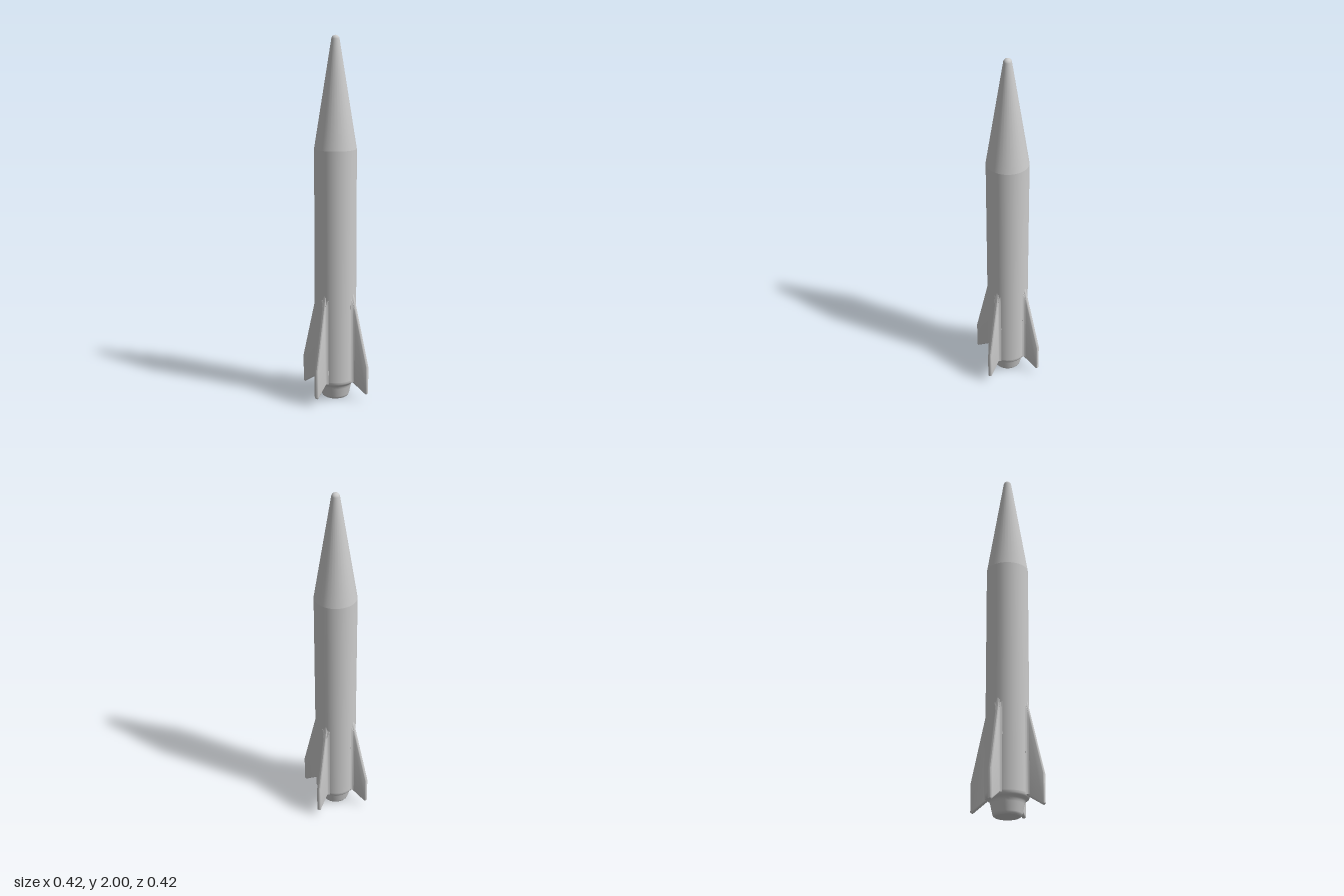
import * as THREE from 'three';
import { toCreasedNormals } from 'three/addons/utils/BufferGeometryUtils.js';

const SIDES = 32;
const R = 0.115; // body radius

export function createModel() {
  const rocket = new THREE.Group();
  rocket.name = 'rocket';
  const grey = new THREE.MeshStandardMaterial({ color: 0xcccccc });

  const add = (name, geometry, parent = rocket) => {
    const mesh = new THREE.Mesh(geometry, grey);
    mesh.name = name;
    parent.add(mesh);
    return mesh;
  };
  const lathe = (points) =>
    new THREE.LatheGeometry(points.map(([r, y]) => new THREE.Vector2(r, y)), SIDES);

  // Straight body tube
  add('body', lathe([[R, 0.11], [R, 1.4]]));

  // Rounded tail shoulder blending into the nozzle
  add('nozzle', lathe([
    [0.066, 0], [0.073, 0.005], [0.077, 0.015], [0.087, 0.062], [0.09, 0.073],
    [0.095, 0.081], [0.103, 0.087], [0.11, 0.092], [0.114, 0.1], [R, 0.11],
  ]));
  const base = add('nozzleBase', new THREE.CircleGeometry(0.066, SIDES));
  base.rotation.x = Math.PI / 2;

  // Straight-sided nose cone with a small domed tip
  const nose = [[R, 1.4]];
  const tip = 0.022;
  for (let i = 0; i <= 6; i++) {
    const a = THREE.MathUtils.lerp(0.16, Math.PI / 2, i / 6);
    nose.push([i === 6 ? 0 : tip * Math.cos(a), 2 - tip + tip * Math.sin(a)]);
  }
  add('noseCone', lathe(nose));

  // Swept fin plate with a rounded rim
  const outline = new THREE.Shape([
    [0.07, 0.123], [0.199, 0.039], [0.209, 0.046], [0.209, 0.2], [0.101, 0.66], [0.07, 0.66],
  ].map(([x, y]) => new THREE.Vector2(x, y)));
  const plate = new THREE.ExtrudeGeometry(outline, {
    depth: 0.004, bevelThickness: 0.009, bevelSize: 0.009, bevelOffset: -0.009, bevelSegments: 5,
  });
  plate.translate(0, 0, -0.002);
  const finGeometry = toCreasedNormals(plate, 0.7);

  // Concave fillet running up both sides of the fin root
  const section = new THREE.Shape();
  section.moveTo(0.1, -0.024);
  section.lineTo(0.112, -0.024);
  section.quadraticCurveTo(0.117, -0.011, 0.132, -0.0105);
  section.lineTo(0.132, 0.0105);
  section.quadraticCurveTo(0.117, 0.011, 0.112, 0.024);
  section.lineTo(0.1, 0.024);
  const root = new THREE.ExtrudeGeometry(section, {
    depth: 0.48, steps: 16, bevelEnabled: false, curveSegments: 5,
  });
  root.rotateX(-Math.PI / 2).translate(0, 0.1, 0);
  const p = root.attributes.position;
  for (let i = 0; i < p.count; i++) {
    // keep the fillet behind the sloping leading edge
    const edge = R + (0.6 - p.getY(i)) * 0.2375 - 0.006;
    p.setX(i, Math.min(p.getX(i), edge));
  }
  const rootGeometry = toCreasedNormals(root, 0.7);

  // Four fins, slightly turned about the axis
  for (let i = 0; i < 4; i++) {
    const fin = new THREE.Group();
    fin.name = `fin${i + 1}`;
    add('finPlate', finGeometry, fin);
    add('finFillet', rootGeometry, fin);
    fin.rotation.y = 0.104 + i * Math.PI / 2;
    rocket.add(fin);
  }
  return rocket;
}
